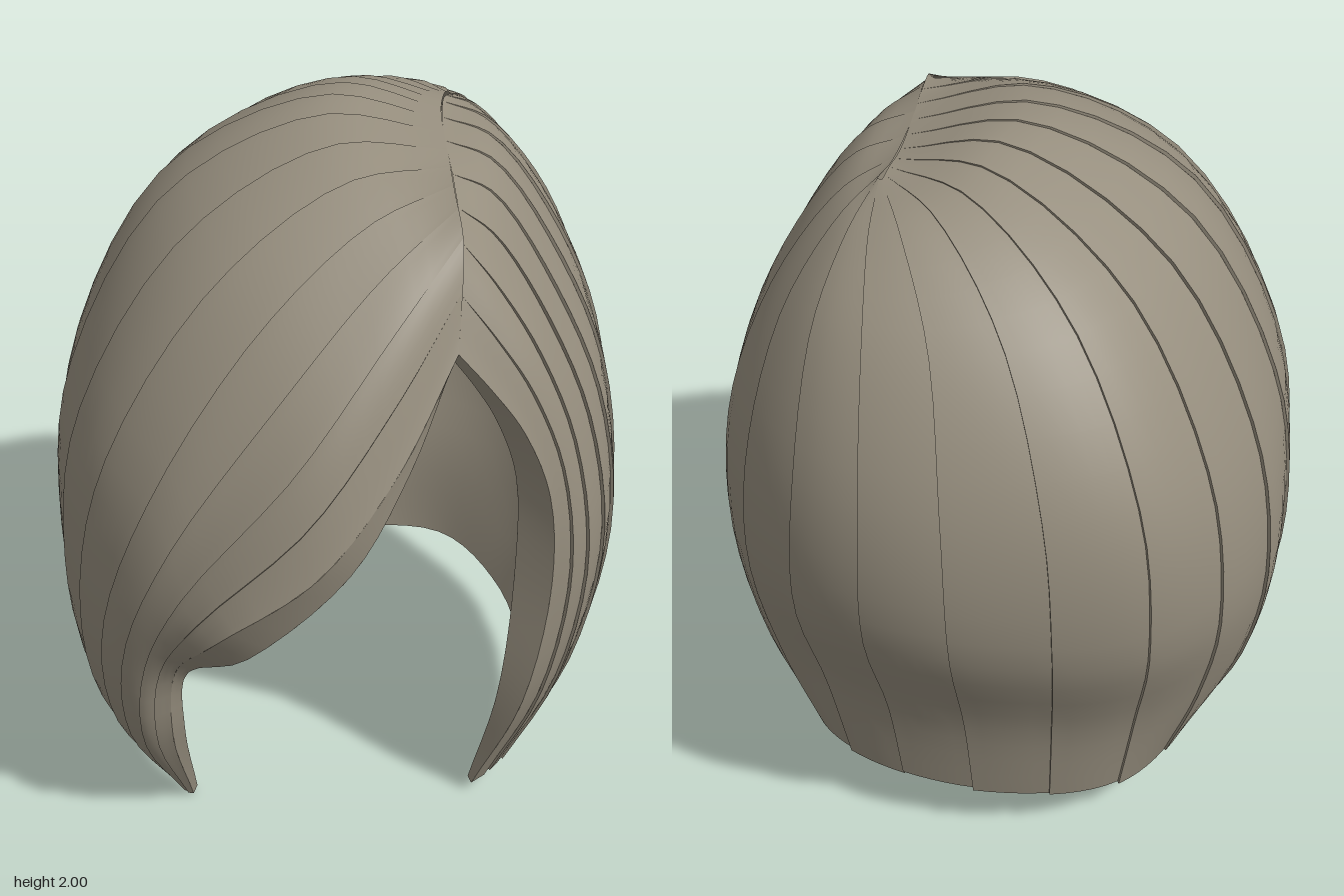
import * as THREE from 'three';
import { toCreasedNormals } from 'three/addons/utils/BufferGeometryUtils.js';

const V = (p) => new THREE.Vector3(p[0], p[1], p[2]);

// Guide hairs, each running from the side parting down to the hem.
// Order goes from the fringe edge, round the right, the back and the left.
const rightGuides = [
  [[.32, 1.57, .65], [.17, 1.32, .83], [-.03, 1.08, .95], [-.30, .87, .945], [-.43, .64, .77], [-.45, .38, .71], [-.42, .005, .52]],
  [[.33, 1.82, .52], [.15, 1.62, .72], [-.08, 1.32, .88], [-.38, .95, .88], [-.50, .65, .78], [-.52, .35, .70], [-.44, .02, .52]],
  [[.31, 1.90, .38], [.10, 1.82, .52], [-.17, 1.58, .70], [-.45, 1.15, .80], [-.60, .72, .72], [-.60, .35, .62], [-.48, .04, .48]],
  [[.30, 1.92, .20], [.00, 1.94, .30], [-.36, 1.72, .45], [-.65, 1.25, .53], [-.73, .80, .50], [-.70, .40, .45], [-.54, .07, .40]],
  [[.29, 1.93, .00], [-.05, 1.99, .02], [-.47, 1.78, .05], [-.75, 1.28, .08], [-.81, .85, .08], [-.76, .45, .08], [-.60, .10, .10]],
];
const backGuides = [
  [[.29, 1.93, -.15], [.00, 1.98, -.20], [-.42, 1.74, -.32], [-.68, 1.28, -.42], [-.75, .85, -.45], [-.70, .45, -.38], [-.57, .11, -.30]],
  [[.30, 1.93, -.24], [.07, 1.93, -.38], [-.22, 1.72, -.62], [-.42, 1.30, -.82], [-.46, .85, -.82], [-.42, .45, -.68], [-.38, .13, -.62]],
  [[.31, 1.92, -.29], [.22, 1.88, -.48], [.10, 1.68, -.72], [.04, 1.30, -.92], [.02, .90, -.95], [.01, .50, -.80], [.00, .16, -.73]],
  [[.32, 1.92, -.28], [.36, 1.84, -.46], [.40, 1.66, -.65], [.42, 1.30, -.82], [.44, .90, -.83], [.40, .50, -.70], [.36, .19, -.66]],
  [[.30, 1.93, -.22], [.42, 1.85, -.30], [.58, 1.62, -.40], [.69, 1.30, -.50], [.73, .90, -.50], [.67, .45, -.45], [.55, .14, -.42]],
];
const leftGuides = [
  [[.29, 1.93, .00], [.43, 1.87, .00], [.62, 1.60, .00], [.76, 1.27, .00], [.81, .85, .00], [.76, .45, .00], [.61, .12, .00]],
  [[.31, 1.90, .34], [.42, 1.82, .29], [.58, 1.57, .30], [.72, 1.25, .32], [.78, .85, .32], [.71, .45, .33], [.54, .08, .32]],
  [[.33, 1.80, .52], [.42, 1.68, .53], [.53, 1.50, .54], [.64, 1.22, .53], [.69, .85, .53], [.63, .45, .52], [.48, .06, .45]],
  [[.32, 1.57, .65], [.41, 1.46, .64], [.50, 1.33, .63], [.58, 1.12, .61], [.60, .82, .60], [.54, .42, .59], [.41, .04, .50]],
];
// Turned-in edges on both sides of the face opening
const fringeInner = [[.31, 1.54, .63], [.20, 1.30, .79], [.05, 1.05, .89], [-.22, .79, .90], [-.40, .62, .74], [-.42, .38, .67], [-.41, .02, .50]];
const leftInner = [[.31, 1.54, .63], [.37, 1.45, .61], [.43, 1.34, .59], [.49, 1.15, .56], [.50, .82, .55], [.47, .42, .55], [.40, .05, .48]];

// Moves a point towards (negative) or away from the middle of the head
function swell(p, s) {
  const q = p.clone();
  q.x += q.x * s;
  q.z += q.z * s;
  if (q.y > .9) q.y += (q.y - .9) * s;
  return q;
}

// Smooth surface through guide curves: u (0-1) runs across guides, v (0-1) down the hair
function makeSurface(guides) {
  const curves = guides.map((g) => new THREE.CatmullRomCurve3(g));
  const cache = new Map();
  return (u, v) => {
    if (!cache.has(v)) cache.set(v, new THREE.CatmullRomCurve3(curves.map((c) => c.getPoint(v))));
    return cache.get(v).getPoint(u);
  };
}

// Mesh geometry from rows of points
function loft(rows, crease) {
  const n = rows[0].length;
  const pos = [];
  const index = [];
  rows.forEach((row) => row.forEach((p) => pos.push(p.x, p.y, p.z)));
  for (let i = 0; i < rows.length - 1; i++) {
    for (let j = 0; j < n - 1; j++) {
      const a = i * n + j;
      index.push(a, a + 1, a + n, a + 1, a + n + 1, a + n);
    }
  }
  const geo = new THREE.BufferGeometry();
  geo.setAttribute('position', new THREE.Float32BufferAttribute(pos, 3));
  geo.setIndex(index);
  return toCreasedNormals(geo, crease);
}

const range = (n, f) => Array.from({ length: n + 1 }, (_, i) => f(i / n));

export function createModel() {
  const group = new THREE.Group();
  const hair = new THREE.MeshStandardMaterial({ color: 0x968e7e, side: THREE.DoubleSide });
  hair.name = 'taupe hair';
  const add = (name, rows, crease = .7) => {
    const mesh = new THREE.Mesh(loft(rows, crease), hair);
    mesh.name = name;
    group.add(mesh);
  };

  let seed = 7;
  const random = () => (seed = (seed * 16807) % 2147483647) / 2147483647;

  const guides = [...rightGuides, ...backGuides, ...leftGuides].map((g) => g.map(V));
  const last = guides.length - 1;
  const outer = makeSurface(guides);
  const inner = makeSurface(guides.map((g, i) => {
    if (i === 0) return fringeInner.map(V);
    if (i === last) return leftInner.map(V);
    return g.map((p) => swell(p, -.04));
  }));

  // Overlapping locks: each is lifted a little along its trailing edge
  const locks = 24;
  for (let k = 0; k < locks; k++) {
    const u0 = k / locks;
    const u1 = (k + 1) / locks;
    const lastLock = k === locks - 1;
    const end = k === 0 || lastLock ? 1 : 1 - random() * .015;
    const lift = lastLock ? 0 : .011;
    const rows = range(26, (t) => {
      const v = t * end;
      const fade = Math.min(1, v * 3);
      const row = range(5, (s) => swell(outer(u0 + (u1 - u0) * s, v), lift * s * fade));
      // Side wall down to the next lock
      if (!lastLock) row.push(outer(u1, v));
      return row;
    });
    add('hairLock' + (k + 1), rows);
  }

  // Inner lining
  add('innerLining', range(26, (v) => range(70, (s) => inner(1 - s, v))), 1);

  // Turned edges of the face opening
  const edge = (u, flip) => range(30, (v) => {
    const row = range(2, (s) => outer(u, v).lerp(inner(u, v), s));
    return flip ? row.reverse() : row;
  });
  add('fringeEdge', edge(0, true));
  add('leftFaceEdge', edge(1, false));

  // Band closing the hem
  add('hemBand', [0, 1].map((s) => range(70, (u) => outer(u, .985).lerp(inner(u, 1), s))));

  return group;
}
